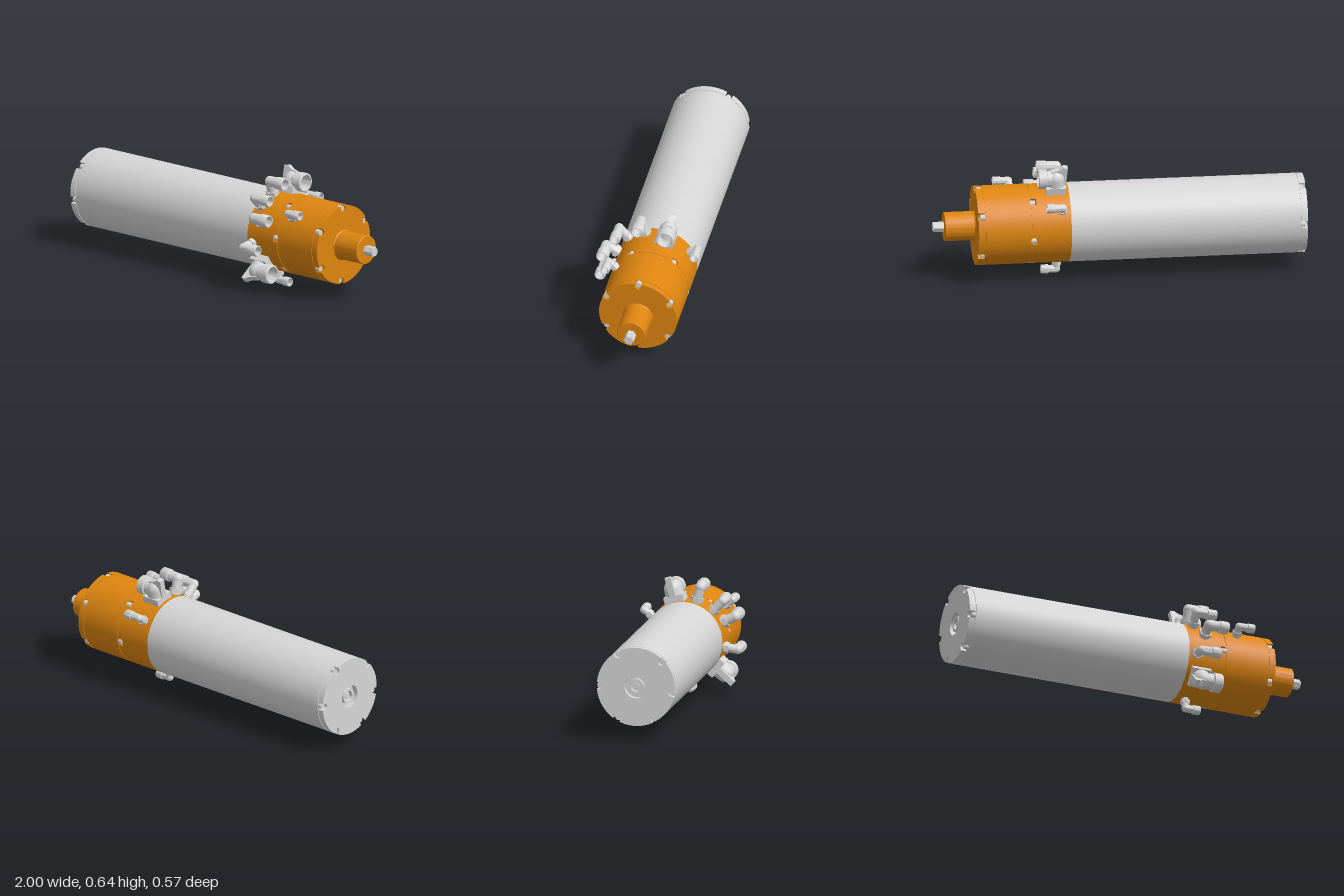
import * as THREE from 'three';
import { toCreasedNormals } from 'three/addons/utils/BufferGeometryUtils.js';

const gray = new THREE.MeshStandardMaterial({ color: 0xd6d6d6 });
gray.name = 'light gray metal';
const orange = new THREE.MeshStandardMaterial({ color: 0xde850f });
orange.name = 'orange housing';

const R = 0.213, BOLT_R = 0.198;
const rad = THREE.MathUtils.degToRad;

function add(parent, name, geometry, material) {
  const mesh = new THREE.Mesh(geometry, material);
  mesh.name = name;
  parent.add(mesh);
  return mesh;
}

// Solid of revolution about the x axis from [x, radius] pairs
function turned(profile, segments = 96) {
  const g = new THREE.LatheGeometry(profile.map(([x, r]) => new THREE.Vector2(r, x)), segments);
  g.rotateZ(-Math.PI / 2);
  return toCreasedNormals(g, 0.6);
}

// Cylinder along x
function rod(x0, x1, r, sides = 24) {
  const g = new THREE.CylinderGeometry(r, r, x1 - x0, sides);
  g.rotateZ(-Math.PI / 2);
  g.translate((x0 + x1) / 2, 0, 0);
  return toCreasedNormals(g, 0.6);
}

// Disc across x with bolt slots cut into its rim; angles run from up toward +z
function slottedDisc(x0, x1, angles, holeRadius = 0) {
  const w = 0.018, half = w / BOLT_R, pts = [];
  const rim = (a, r) => pts.push(new THREE.Vector2(-Math.sin(a) * r, Math.cos(a) * r));
  const sorted = angles.map(d => rad((d + 360) % 360)).sort((a, b) => a - b);
  sorted.forEach((c, i) => {
    for (let k = 0; k <= 14; k++) {
      const t = -Math.cos(k / 14 * Math.PI);
      if (k === 0) rim(c - half, R);
      rim(c + t * half, BOLT_R - w * Math.sqrt(Math.max(0, 1 - t * t)));
      if (k === 14) rim(c + half, R);
    }
    const next = i + 1 < sorted.length ? sorted[i + 1] : sorted[0] + Math.PI * 2;
    const a = c + half, b = next - half;
    for (let k = 1; k < 18; k++) rim(a + (b - a) * k / 18, R);
  });
  const shape = new THREE.Shape(pts);
  if (holeRadius) shape.holes.push(new THREE.Path().absarc(0, 0, holeRadius, 0, Math.PI * 2, true));
  const g = new THREE.ExtrudeGeometry(shape, { depth: x1 - x0, bevelEnabled: false, curveSegments: 32 });
  g.rotateY(Math.PI / 2);
  g.translate(x0, 0, 0);
  return toCreasedNormals(g, 0.6);
}

function boltRing(parent, name, x0, x1, angles) {
  for (const d of angles) {
    const bolt = add(parent, name, rod(x0, x1, 0.0155, 20), gray);
    bolt.position.set(0, Math.cos(rad(d)) * BOLT_R, Math.sin(rad(d)) * BOLT_R);
  }
}

// Open pipe along x with a stepped outside and a blind bore
function pipe(x0, x1, r) {
  const step = x0 + (x1 - x0) * 0.5;
  return turned([
    [x0, 0], [x0, r * 0.84], [step, r * 0.84], [step + 0.003, r], [x1 - 0.004, r],
    [x1, r * 0.93], [x1, r * 0.8], [x0 + 0.03, r * 0.7], [x0 + 0.015, 0],
  ], 32);
}

// Radial group at the point of the housing facing (y, z), measured from the axis
function radial(parent, name, dy, dz) {
  const g = new THREE.Group();
  g.name = name;
  g.rotation.x = Math.atan2(dz, dy);
  parent.add(g);
  return [g, Math.hypot(dy, dz)];
}

// Elbow: stem with hex nut, rounded corner and an outlet toward +x
function elbow(parent, { y, z, r, x0, x1 }) {
  const [g, d] = radial(parent, 'elbowFitting', y, z);
  const cx = x0 + r * 0.95;
  const stem = new THREE.CylinderGeometry(r * 0.8, r * 0.8, d - 0.2, 28);
  add(g, 'elbowStem', stem, gray).position.set(cx, (d + 0.2) / 2, 0);
  const nut = new THREE.CylinderGeometry(r * 1.07, r * 1.07, 0.022, 6).toNonIndexed();
  nut.computeVertexNormals();
  add(g, 'hexNut', nut, gray).position.set(cx, 0.232, 0);
  add(g, 'elbowCorner', new THREE.SphereGeometry(r * 0.84, 28, 18), gray).position.set(cx, d, 0);
  add(g, 'elbowOutlet', pipe(cx, x1, r), gray).position.y = d;
}

// Large port: square foot, wide outlet toward +x and a wedge rib on the back
function largePort(parent, { y, z, r, x0, x1 }) {
  const [g, d] = radial(parent, 'largePort', y, z);
  const foot = new THREE.BoxGeometry(0.11, 0.056, 0.106);
  add(g, 'portFoot', foot, gray).position.set(x0 + 0.057, 0.217, 0);
  const neck = new THREE.CylinderGeometry(r * 0.93, r, d - 0.23, 36);
  add(g, 'portNeck', neck, gray).position.set(x0 + 0.055, (d + 0.23) / 2, 0);
  add(g, 'portCorner', new THREE.SphereGeometry(r * 0.93, 32, 20), gray).position.set(x0 + 0.055, d, 0);
  add(g, 'portOutlet', pipe(x0 + 0.055, x1, r), gray).position.y = d;
  const rib = new THREE.Shape([[0, 0.235], [0.07, 0.235], [0.08, 0.325], [0.04, 0.335], [0.015, 0.352], [-0.008, 0.348]]
    .map(([u, v]) => new THREE.Vector2(x0 + u, v)));
  const ribGeo = new THREE.ExtrudeGeometry(rib, { depth: 0.032, bevelEnabled: false });
  ribGeo.translate(0, 0, -0.016);
  add(g, 'portRib', ribGeo, gray);
}

export function createModel() {
  const model = new THREE.Group();
  model.name = 'cylindricalMotor';
  const body = new THREE.Group();
  body.name = 'body';
  body.position.set(0, 0.297, -0.034);
  model.add(body);

  // Long gray barrel and its slotted end cap
  add(body, 'barrel', turned([[-0.968, 0], [-0.968, R - 0.004], [-0.962, R - 0.004], [-0.962, R], [0.275, R], [0.275, 0]]), gray);
  const rearAngles = [45, 98, 150, 210, 270, 330];
  add(body, 'rearCap', slottedDisc(-1, -0.966, rearAngles, 0.062), gray);
  boltRing(body, 'rearBolt', -0.985, -0.96, rearAngles);
  add(body, 'rearHub', turned([[-0.966, 0.042], [-0.993, 0.042], [-0.993, 0.028], [-0.966, 0.028]].reverse(), 40), gray);
  add(body, 'rearPlug', rod(-0.985, -0.96, 0.015, 6), gray);

  // Orange valve ring with bolt pockets at the joint
  add(body, 'valveRing', turned([[0.274, 0], [0.274, R], [0.458, R], [0.458, 0]]), orange);
  const jointAngles = [30, 84, 140, 200, 260, 320];
  add(body, 'jointFlange', slottedDisc(0.458, 0.488, jointAngles), orange);
  boltRing(body, 'jointBolt', 0.464, 0.492, jointAngles);

  // Orange front housing, slotted cover and nose
  add(body, 'frontHousing', turned([[0.486, 0], [0.486, R - 0.004], [0.492, R - 0.004], [0.492, R],
    [0.737, R], [0.737, R - 0.003], [0.741, R - 0.003], [0.741, 0]]), orange);
  const frontAngles = [0, 60, 120, 175, 235, 300];
  add(body, 'frontCover', slottedDisc(0.741, 0.775, frontAngles), orange);
  boltRing(body, 'frontBolt', 0.74, 0.764, frontAngles);
  add(body, 'nose', turned([[0.77, 0.084], [0.776, 0.083], [0.781, 0.078], [0.937, 0.078], [0.94, 0.075], [0.94, 0]], 64), orange);

  // Hexagonal drive tip
  add(body, 'driveTip', rod(0.935, 0.995, 0.028, 6), gray);
  add(body, 'driveTipFace', rod(0.99, 1, 0.0235, 32), gray);

  // Elbow fittings around the housing
  const elbows = [
    { y: 0.287, z: 0.084, r: 0.034, x0: 0.29, x1: 0.43 },
    { y: 0.217, z: 0.205, r: 0.030, x0: 0.29, x1: 0.43 },
    { y: 0.176, z: 0.209, r: 0.025, x0: 0.54, x1: 0.65 },
    { y: 0.126, z: 0.264, r: 0.034, x0: 0.335, x1: 0.475 },
    { y: -0.043, z: 0.289, r: 0.030, x0: 0.285, x1: 0.42 },
    { y: -0.269, z: 0.024, r: 0.025, x0: 0.305, x1: 0.412 },
    { y: 0.151, z: -0.225, r: 0.025, x0: 0.3, x1: 0.412 },
  ];
  elbows.forEach(e => elbow(body, e));

  // Two large ports
  largePort(body, { y: 0.268, z: -0.071, r: 0.052, x0: 0.29, x1: 0.44 });
  largePort(body, { y: -0.182, z: 0.213, r: 0.052, x0: 0.295, x1: 0.455 });
  return model;
}
